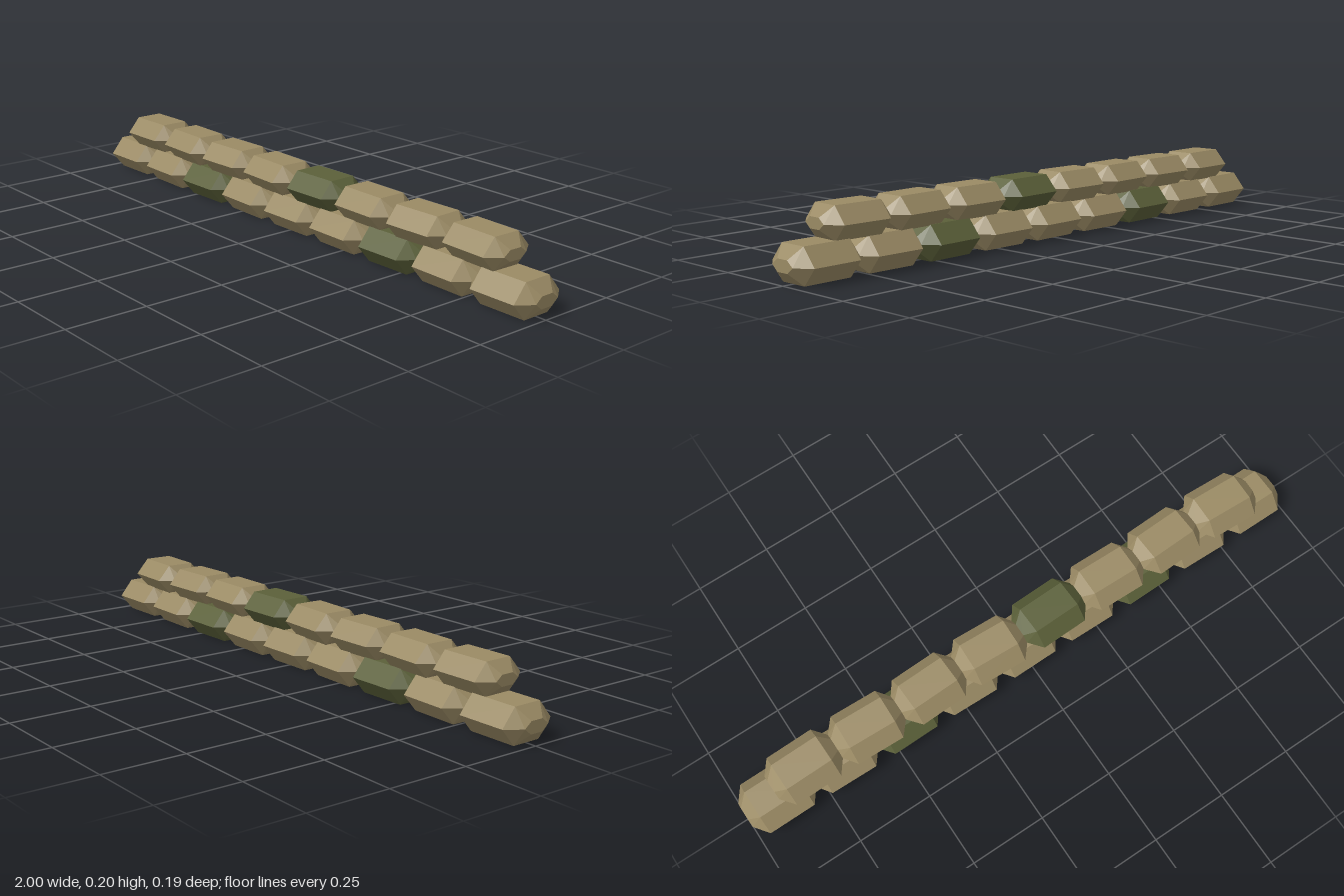
import * as THREE from 'three';
import { ConvexGeometry } from 'three/addons/geometries/ConvexGeometry.js';

// Hexagonal sandbag along x, with its ends chamfered down to a small hexagon
function bagGeometry(halfLength, halfHeight, halfDepth) {
  const points = [];
  const ring = (x, y, z, flat) => {
    for (const s of [-1, 1]) {
      points.push(new THREE.Vector3(x, 0, s * z));
      points.push(new THREE.Vector3(x, y, s * flat), new THREE.Vector3(x, -y, s * flat));
    }
  };
  for (const side of [-1, 1]) {
    ring(side * (halfLength - 0.035), halfHeight, halfDepth, halfDepth * 0.51);
    ring(side * halfLength, halfHeight * 0.34, halfDepth * 0.48, halfDepth * 0.23);
  }
  return new ConvexGeometry(points);
}

export function createModel() {
  const group = new THREE.Group();
  group.name = 'sandbagWall';
  const canvas = new THREE.MeshStandardMaterial({ color: 0x9a8a64 });
  canvas.name = 'tan canvas';
  const olive = new THREE.MeshStandardMaterial({ color: 0x5b6039 });
  olive.name = 'olive canvas';

  const spacing = 0.2218;
  const yaws = [0.02, -0.03, 0.035, -0.04, 0.03, -0.015, 0.04, -0.035, 0.015];
  const rows = [
    { name: 'lowerBag', count: 9, y: 0.0535, height: 0.0535, depth: 0.091, green: [2, 6], turn: 0.5 },
    { name: 'upperBag', count: 8, y: 0.153, height: 0.049, depth: 0.087, green: [4], turn: 1 },
  ];

  // Two courses, the upper one offset by half a bag
  for (const row of rows) {
    const geometry = bagGeometry(0.1125, row.height, row.depth);
    for (let i = 0; i < row.count; i++) {
      const bag = new THREE.Mesh(geometry, row.green.includes(i) ? olive : canvas);
      bag.name = row.name + (i + 1);
      bag.position.set((i - (row.count - 1) / 2) * spacing, row.y, 0);
      bag.rotation.y = yaws[i] * row.turn;
      group.add(bag);
    }
  }
  return group;
}
